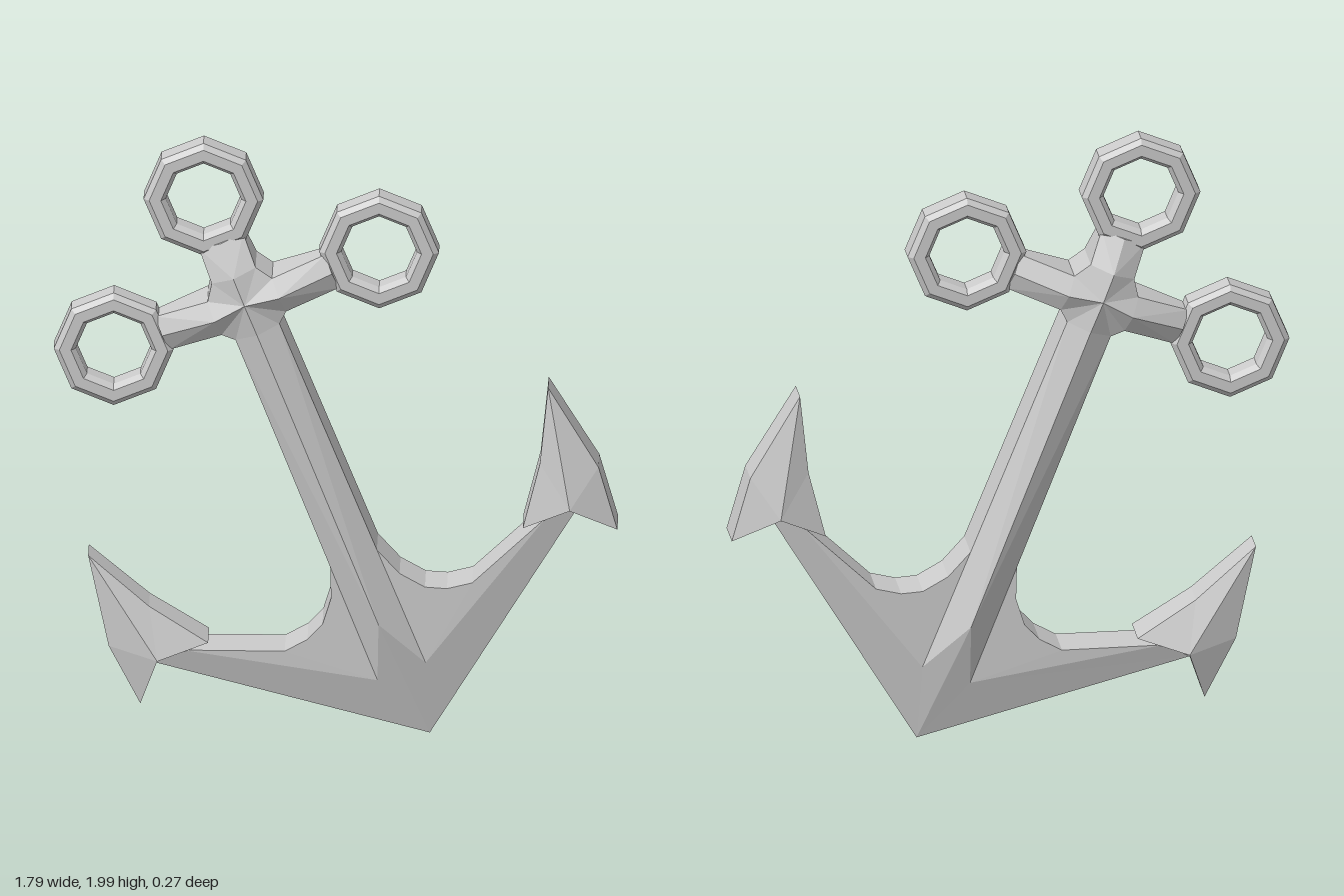
import * as THREE from 'three';

const TILT = THREE.MathUtils.degToRad(21.7);
const material = new THREE.MeshStandardMaterial({ color: 0xcccccc, flatShading: true });

// Solid symmetric in z. Points are [x, y, half thickness]: the loop runs
// counter-clockwise, and both faces fan out from the apex. side = -1 mirrors x.
function slab(name, loop, apex, side = 1) {
  const pos = [];
  const tri = (a, b, c) => {
    for (const p of side > 0 ? [a, b, c] : [a, c, b]) pos.push(p[0] * side, p[1], p[2]);
  };
  const back = (p) => [p[0], p[1], -p[2]];
  loop.forEach((a, i) => {
    const b = loop[(i + 1) % loop.length];
    tri(a, back(a), back(b));
    tri(a, back(b), b);
    if (a !== apex && b !== apex) {
      tri(apex, a, b);
      tri(back(apex), back(b), back(a));
    }
  });
  const geometry = new THREE.BufferGeometry();
  geometry.setAttribute('position', new THREE.Float32BufferAttribute(pos, 3));
  geometry.computeVertexNormals();
  const mesh = new THREE.Mesh(geometry, material);
  mesh.name = name;
  return mesh;
}

// Tapered ridged bar pointing along +y, from y0 to y1
function spoke(name, y0, y1, w) {
  const root = [0, y0, 0.11];
  return slab(name, [
    root, [w, y0, 0.075], [w, y1, 0.035], [0, y1, 0.06], [-w, y1, 0.035], [-w, y0, 0.075],
  ], root);
}

// Eight-sided ring with chamfered edges
function ring(name, x, y) {
  const profile = [
    [0.12, -0.03], [0.135, -0.05], [0.172, -0.05], [0.19, -0.035],
    [0.19, 0.035], [0.172, 0.05], [0.135, 0.05], [0.12, 0.03], [0.12, -0.03],
  ].map(([r, h]) => new THREE.Vector2(r, h));
  const geometry = new THREE.LatheGeometry(profile, 8).rotateX(Math.PI / 2).rotateZ(-TILT);
  const mesh = new THREE.Mesh(geometry, material);
  mesh.name = name;
  mesh.position.set(x, y, 0);
  return mesh;
}

export function createModel() {
  const model = new THREE.Group();
  model.name = 'anchor';
  const body = new THREE.Group();
  body.name = 'tiltedBody';
  body.rotation.z = TILT;
  body.position.set(0.295, 0.003, 0);
  model.add(body);

  // Shaft with a central ridge, ending in the crown point
  body.add(slab('shaft', [
    [0, 0, 0.03], [0.082, 0.24, 0.075], [0.075, 1.48, 0.075],
    [0, 1.48, 0.112], [-0.075, 1.48, 0.075], [-0.082, 0.24, 0.075],
  ], [0, 0.434, 0.135]));

  // Hub where shaft and spokes meet
  body.add(slab('hub', [
    [0.075, 1.475, 0.075], [0.11, 1.507, 0.075], [0.11, 1.567, 0.11], [0.11, 1.627, 0.075],
    [0.075, 1.68, 0.075], [0, 1.68, 0.11], [-0.075, 1.68, 0.075], [-0.11, 1.627, 0.075],
    [-0.11, 1.567, 0.11], [-0.11, 1.507, 0.075], [-0.075, 1.475, 0.075], [0, 1.475, 0.112],
  ], [0, 1.585, 0.118]));

  // Top spoke and ring
  body.add(spoke('topSpoke', 1.68, 1.79, 0.075), ring('topRing', 0, 1.941));

  for (const [side, label] of [[1, 'left'], [-1, 'right']]) {
    // Side spoke and ring
    const bar = spoke(label + 'Spoke', 0.11, 0.29, 0.06);
    bar.position.y = 1.567;
    bar.rotation.z = -side * Math.PI / 2;
    body.add(bar, ring(label + 'Ring', side * 0.453, 1.573));

    // Curved arm
    body.add(slab(label + 'Arm', [
      [0, 0, 0.03], [0.72, 0.545, 0.055], [0.62, 0.558, 0.073], [0.32, 0.438, 0.075],
      [0.238, 0.449, 0.075], [0.175, 0.479, 0.075], [0.117, 0.551, 0.075], [0.075, 0.664, 0.075],
    ], [0.082, 0.24, 0.075], side));

    // Barbed fluke
    const heel = [0.704, 0.565, 0.113];
    body.add(slab(label + 'Fluke', [
      [0.785, 0.957, 0.05], [0.667, 0.73, 0.06], [0.537, 0.55, 0.068],
      heel, [0.814, 0.435, 0.062], [0.836, 0.652, 0.06],
    ], heel, side));
  }
  return model;
}
